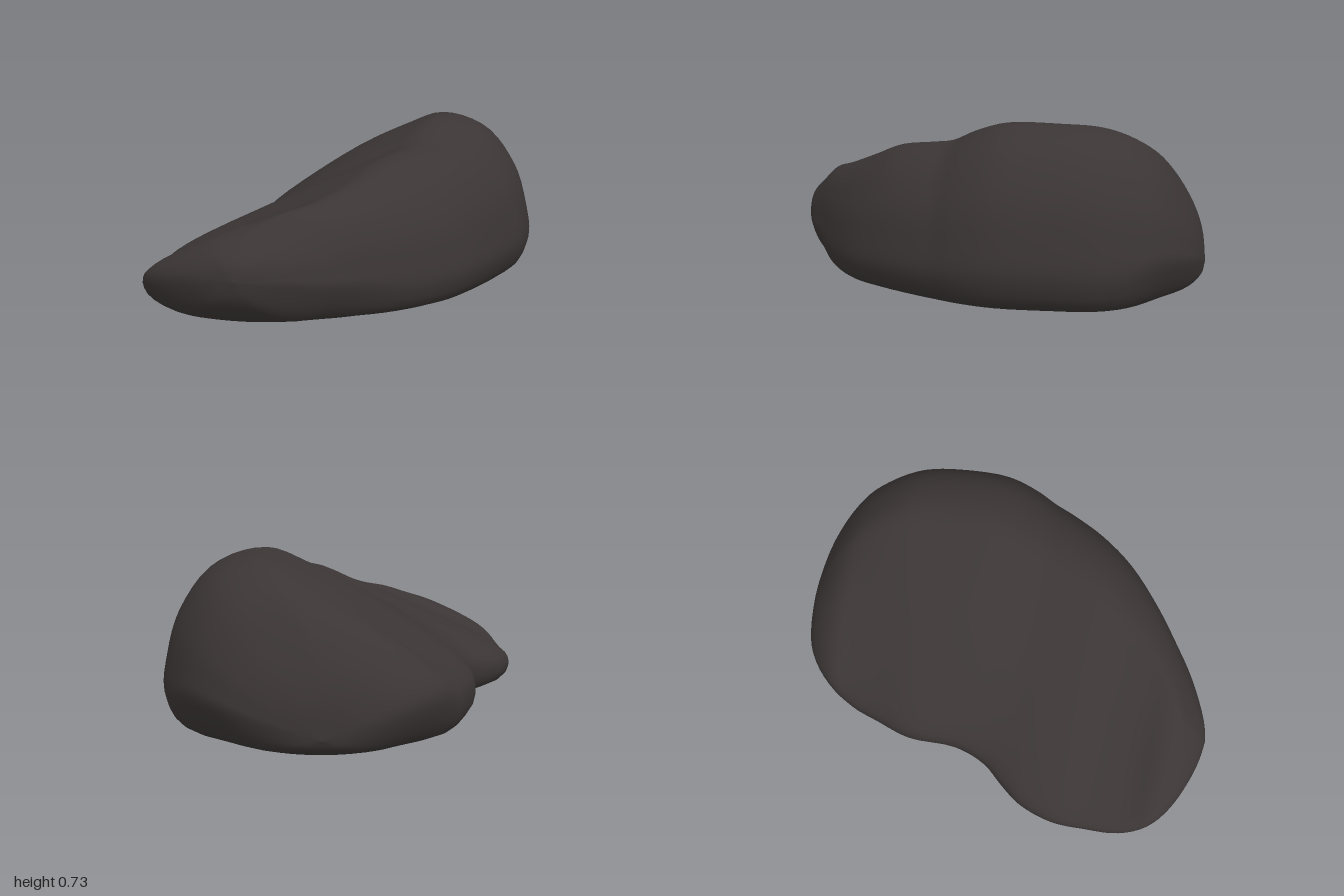
import * as THREE from 'three';

// Cross-section stations from back to front:
// z, left x, right x, ridge x, ridge height, underside height
const STATIONS = [
  [-1.00, 0.08, 0.08, 0.08, 0.10, 0.10],
  [-0.98, -0.09, 0.27, 0.10, 0.25, 0.06],
  [-0.92, -0.25, 0.45, 0.14, 0.40, 0.025],
  [-0.80, -0.39, 0.61, 0.24, 0.58, 0.01],
  [-0.68, -0.46, 0.70, 0.31, 0.67, 0.01],
  [-0.55, -0.50, 0.76, 0.36, 0.72, 0.01],
  [-0.38, -0.55, 0.79, 0.39, 0.735, 0.01],
  [-0.15, -0.55, 0.80, 0.38, 0.735, 0.01],
  [0.00, -0.60, 0.77, 0.34, 0.69, 0.01],
  [0.10, -0.68, 0.73, 0.31, 0.645, 0.01],
  [0.20, -0.75, 0.69, 0.28, 0.63, 0.01],
  [0.36, -0.80, 0.61, 0.21, 0.605, 0.01],
  [0.52, -0.80, 0.50, 0.12, 0.54, 0.01],
  [0.68, -0.79, 0.32, -0.01, 0.475, 0.01],
  [0.80, -0.74, 0.14, -0.15, 0.43, 0.01],
  [0.88, -0.65, 0.02, -0.25, 0.37, 0.025],
  [0.95, -0.51, -0.13, -0.29, 0.31, 0.085],
  [0.985, -0.40, -0.23, -0.31, 0.265, 0.14],
  [1.00, -0.31, -0.31, -0.31, 0.21, 0.21],
];
const RINGS = 72, SIDES = 56;
const { lerp, smoothstep } = THREE.MathUtils;

// Closed outline of one slice: sloping left face, ridge, steep right face, flat base
function section([z, xl, xr, rx, ry, yb]) {
  const h = ry - yb, w = xr - xl;
  // slices turn from a wedge to a rounded oval towards both ends
  const oval = z > 0 ? smoothstep(z, 0.6, 1) : smoothstep(-z, 0.6, 1);
  const front = smoothstep(z, -0.4, 0.4);
  const nose = yb + h * lerp(lerp(0.2, 0.16, front), 0.45, oval);
  const rim = yb + h * lerp(0.2, 0.45, oval);
  const slope = (t, wedge, round) =>
    [lerp(xl, rx, t), lerp(nose, ry, t) + lerp(wedge, round, oval) * h];
  const bulge = lerp(0.14, 0.07, front);
  const wall = (a) =>
    [rx + (xr - rx) * Math.sin(a) ** 0.95, rim + (ry - rim) * Math.cos(a) ** 0.95];
  const corner = yb + h * lerp(0.02, 0.1, oval);
  const points = [
    [xl, nose], slope(0.1, lerp(0.11, 0.085, front), 0.18), slope(0.5, bulge, 0.2),
    slope(0.8, bulge * 0.6, 0.1),
    [rx, ry], wall(0.5), wall(0.95), wall(1.3), [xr, rim],
    [xr - w * lerp(0.075, 0.16, oval), corner], [xr * 0.65 + xl * 0.35, yb],
    [xr * 0.35 + xl * 0.65, yb], [xl + w * lerp(0.06, 0.16, oval), corner],
  ].map(([x, y]) => new THREE.Vector3(x, y, z));
  return new THREE.CatmullRomCurve3(points, true, 'catmullrom', 0.5);
}

// Smooth skin lofted through the slices
function loftRock() {
  const slices = STATIONS.map(section);
  const strands = [];
  for (let k = 0; k < SIDES; k++) {
    strands.push(new THREE.CatmullRomCurve3(slices.map((s) => s.getPoint(k / SIDES))));
  }
  const positions = [], index = [];
  for (let i = 0; i <= RINGS; i++) {
    for (const strand of strands) {
      const p = strand.getPoint(i / RINGS);
      positions.push(p.x, Math.max(p.y, 0), p.z);
    }
  }
  for (let i = 0; i < RINGS; i++) {
    for (let k = 0; k < SIDES; k++) {
      const a = i * SIDES + k, b = i * SIDES + (k + 1) % SIDES;
      const c = a + SIDES, d = b + SIDES;
      // the end rings shrink to a point, so only one triangle is needed there
      if (i < RINGS - 1) index.push(c, d, b);
      if (i > 0) index.push(a, c, b);
    }
  }
  const geometry = new THREE.BufferGeometry();
  geometry.setAttribute('position', new THREE.Float32BufferAttribute(positions, 3));
  geometry.setIndex(index);
  geometry.computeVertexNormals();
  return geometry;
}

export function createModel() {
  const group = new THREE.Group();
  group.name = 'rock';
  const stone = new THREE.MeshStandardMaterial({ color: 0x3b3535 });
  stone.name = 'dark stone';
  const boulder = new THREE.Mesh(loftRock(), stone);
  boulder.name = 'boulder';
  group.add(boulder);
  return group;
}
